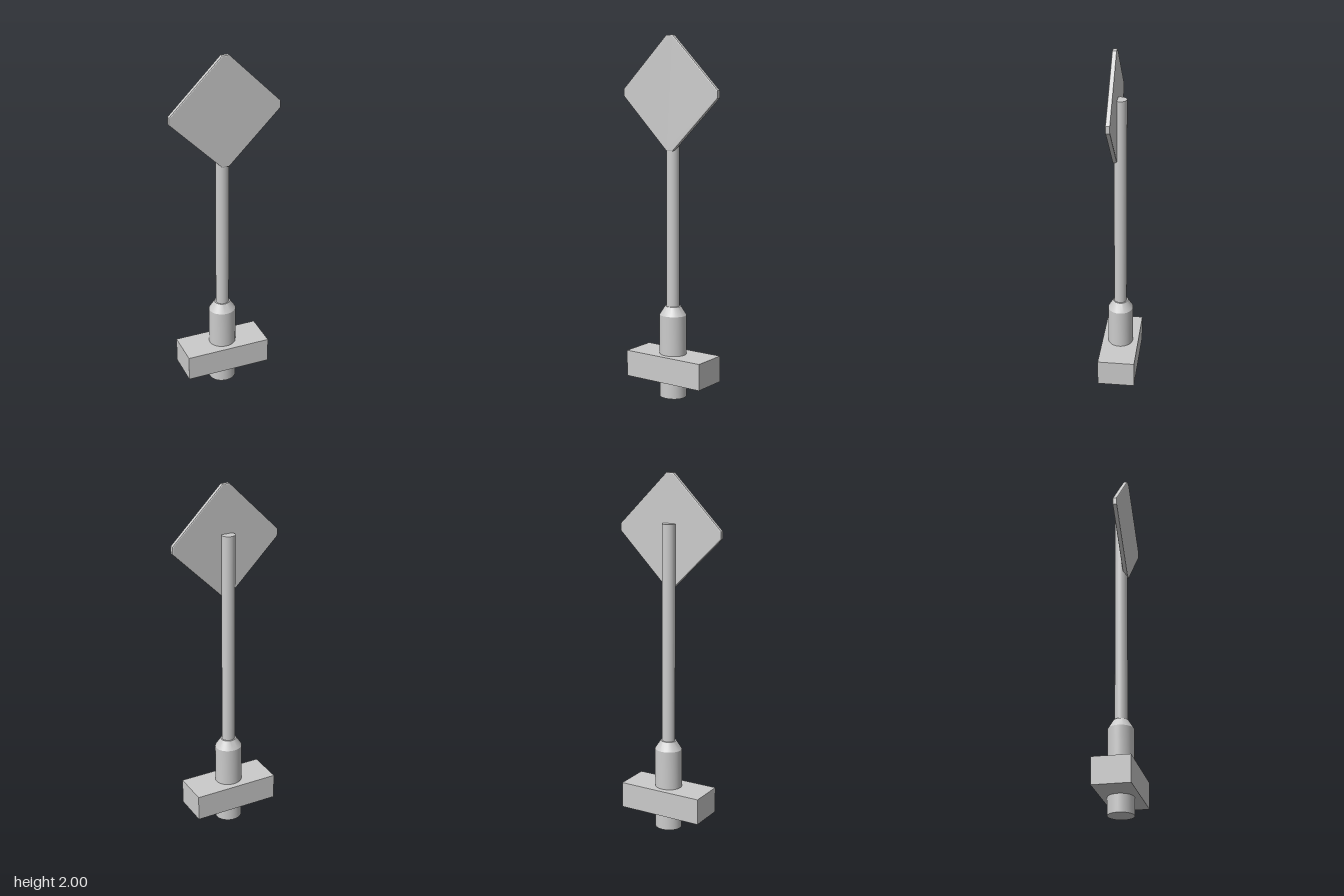
import * as THREE from 'three';
import { toCreasedNormals } from 'three/addons/utils/BufferGeometryUtils.js';

const material = new THREE.MeshStandardMaterial({ color: 0xcccccc });
const AXIS_X = -0.004; // the post stands slightly off centre

function addPart(group, name, geometry, x, y, z) {
  const mesh = new THREE.Mesh(geometry, material);
  mesh.name = name;
  mesh.position.set(x, y, z);
  group.add(mesh);
  return mesh;
}

export function createModel() {
  const group = new THREE.Group();
  group.name = 'signPost';

  // Block foot
  addPart(group, 'footBlock', new THREE.BoxGeometry(0.492, 0.147, 0.206), AXIS_X, 0.171, -0.001);

  // Socket through the foot, tapering at the top; slightly oval
  const profile = [[0, 0], [0.077, 0], [0.077, 0.467], [0.045, 0.516], [0, 0.516]]
    .map(([r, y]) => new THREE.Vector2(r, y));
  const socketGeometry = toCreasedNormals(new THREE.LatheGeometry(profile, 32), 0.5);
  addPart(group, 'socket', socketGeometry, AXIS_X, 0, -0.001).scale.z = 0.925;

  // Pole
  const bottom = 0.5, top = 1.732;
  addPart(group, 'pole', new THREE.CylinderGeometry(0.037, 0.037, top - bottom, 32),
    AXIS_X, (top + bottom) / 2, 0).scale.z = 0.95;

  // Diamond sign plate with clipped corners and a fine bevel
  const reach = 0.31, clip = 0.02, bevel = 0.004;
  const outline = [];
  for (let i = 0; i < 4; i++) {
    const corner = new THREE.Vector2();
    for (const side of [-clip, clip]) {
      corner.set(reach, side).rotateAround(new THREE.Vector2(), i * Math.PI / 2);
      outline.push(corner.clone());
    }
  }
  const plate = new THREE.ExtrudeGeometry(new THREE.Shape(outline), {
    depth: 0.021, bevelEnabled: true, bevelThickness: 0.002,
    bevelSize: bevel, bevelOffset: -bevel, bevelSegments: 1,
  });
  addPart(group, 'signPlate', plate, 0, 1.69, 0.0175);

  return group;
}
